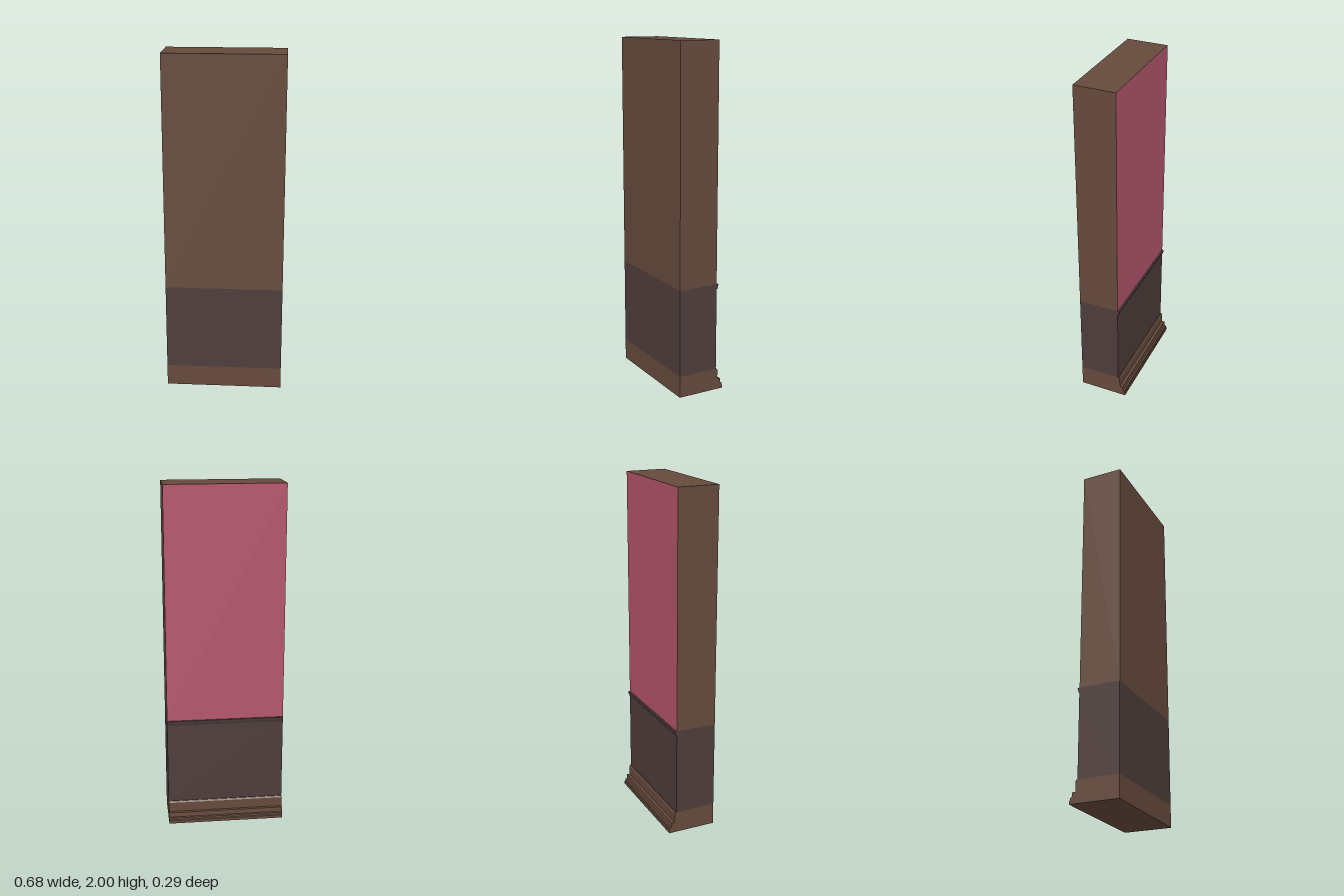
import * as THREE from 'three';

const HALF_WIDTH = 0.342;
const FRONT = 0.143;
const BACK = -0.097;

const brown = new THREE.MeshStandardMaterial({ color: 0x664a3c });
const dark = new THREE.MeshStandardMaterial({ color: 0x4e3d3b });
const pink = new THREE.MeshStandardMaterial({ color: 0xb5566c });

// Sweep a [z, y] profile across the full width of the wall
function sweep(name, profile, material) {
  const shape = new THREE.Shape(profile.map(([z, y]) => new THREE.Vector2(z, y)));
  const geometry = new THREE.ExtrudeGeometry(shape, { depth: HALF_WIDTH * 2, bevelEnabled: false });
  geometry.translate(0, 0, -HALF_WIDTH);
  geometry.rotateY(-Math.PI / 2);
  const mesh = new THREE.Mesh(geometry, material);
  mesh.name = name;
  return mesh;
}

export function createModel() {
  const group = new THREE.Group();
  group.name = 'wallSection';

  // Stepped skirting along the back, in one piece with the wall foot
  group.add(sweep('skirting', [
    [FRONT, 0], [FRONT, 0.127], [-0.102, 0.127], [-0.108, 0.118],
    [-0.108, 0.062], [-0.126, 0.062], [-0.128, 0.035],
    [-0.137, 0.032], [-0.138, 0.021], [-0.143, 0.018], [-0.143, 0],
  ], brown));

  // Dark lower wall with a small projecting rail at its top
  group.add(sweep('lowerWall', [
    [FRONT, 0.127], [FRONT, 0.638], [-0.108, 0.638],
    [-0.106, 0.625], [-0.101, 0.61], [BACK, 0.61], [BACK, 0.127],
  ], dark));

  // Upper wall
  group.add(sweep('upperWall', [
    [FRONT, 0.638], [FRONT, 2], [BACK + 0.001, 2], [BACK + 0.001, 0.638],
  ], brown));

  // Pink wall covering on the back
  const covering = new THREE.Mesh(new THREE.PlaneGeometry(HALF_WIDTH * 2, 2 - 0.638), pink);
  covering.name = 'wallCovering';
  covering.rotation.y = Math.PI;
  covering.position.set(0, (2 + 0.638) / 2, BACK);
  group.add(covering);

  return group;
}
